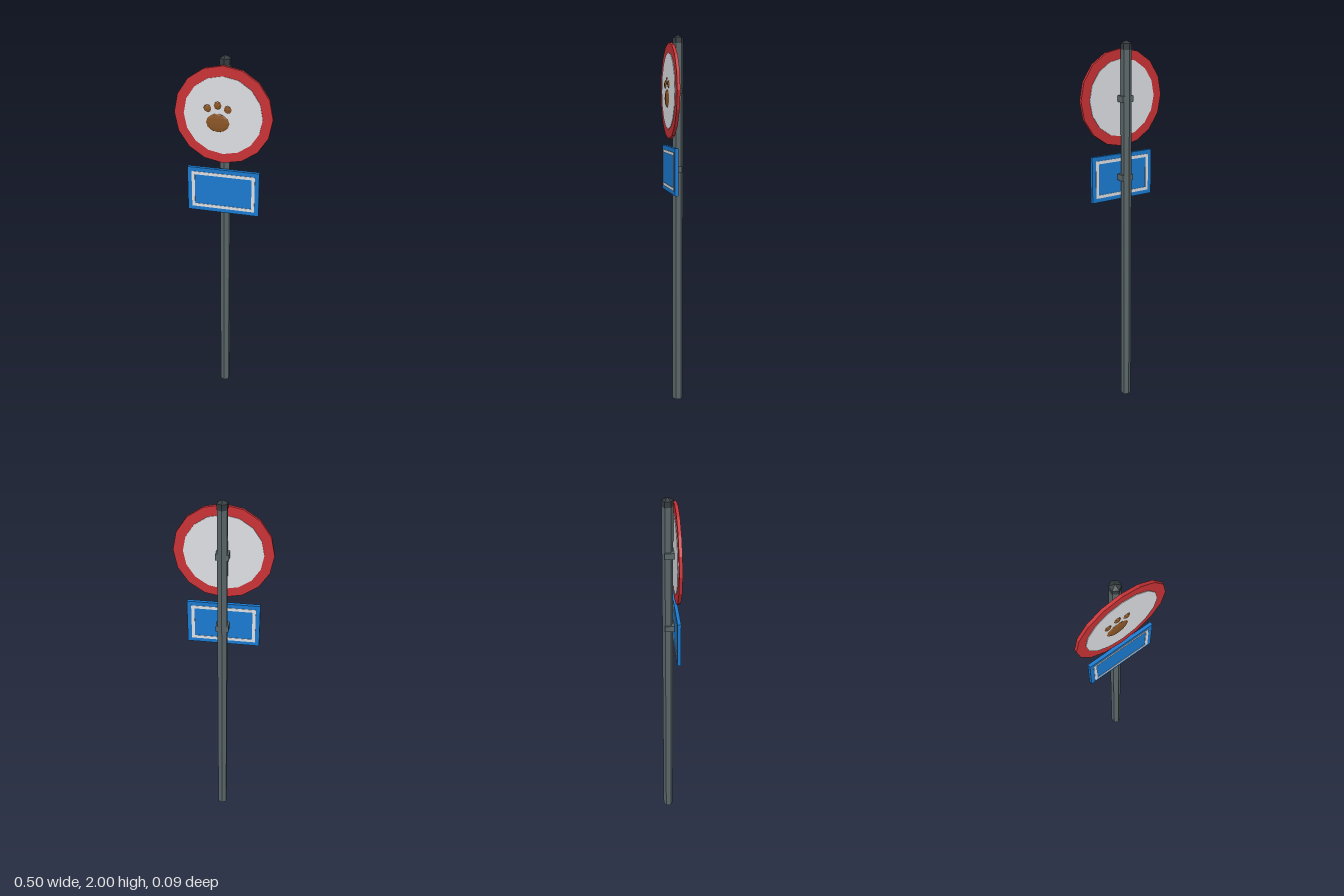
import * as THREE from 'three';

const mat = (color) => new THREE.MeshStandardMaterial({ color, flatShading: true });
const STEEL = mat(0x5a6668), DARK = mat(0x343b3f), RED = mat(0xc83236);
const WHITE = mat(0xdcdee2), BLUE = mat(0x1a7ad0), BROWN = mat(0x8a5526);

const POLE_Z = -0.018;   // pole axis
const PANEL_Z = 0.024;   // middle of both sign panels
const ROUND_Y = 1.71, PLATE_Y = 1.297;

export function createModel() {
  const model = new THREE.Group();
  model.name = 'signPost';

  const add = (name, geometry, material, x, y, z) => {
    const mesh = new THREE.Mesh(geometry, material);
    mesh.name = name;
    mesh.position.set(x, y, z);
    model.add(mesh);
    return mesh;
  };
  // Flat shape extruded along z and centred on its thickness
  const slab = (shape, depth) =>
    new THREE.ExtrudeGeometry(shape, { depth, bevelEnabled: false }).translate(0, 0, -depth / 2);
  const polygon = (r, sides) => Array.from({ length: sides }, (_, i) => {
    const a = (i / sides) * Math.PI * 2;
    return new THREE.Vector2(Math.cos(a) * r, Math.sin(a) * r);
  });
  const rect = (w, h) => [[-1, -1], [1, -1], [1, 1], [-1, 1]]
    .map(([x, y]) => new THREE.Vector2(x * w / 2, y * h / 2));
  const frame = (outer, inner, depth) => {
    const shape = new THREE.Shape(outer);
    shape.holes.push(new THREE.Path(inner));
    return slab(shape, depth);
  };

  // Hexagonal pole with a low pointed cap
  add('pole', new THREE.CylinderGeometry(0.028, 0.028, 1.96, 6), STEEL, 0, 0.98, POLE_Z);
  add('capCollar', new THREE.CylinderGeometry(0.029, 0.029, 0.03, 6, 1, true), DARK, 0, 1.97, POLE_Z);
  add('capTip', new THREE.ConeGeometry(0.029, 0.015, 6, 1, true), DARK, 0, 1.9925, POLE_Z);

  // Clamps holding the panels to the pole
  for (const y of [ROUND_Y, PLATE_Y]) {
    add('clamp', new THREE.BoxGeometry(0.066, 0.032, 0.05), STEEL, 0, y, -0.01);
  }

  // Round sign: red rim around a slightly thicker white disc
  add('roundRim', frame(polygon(0.25, 16), polygon(0.198, 16), 0.016), RED, 0, ROUND_Y, PANEL_Z);
  add('roundFace', slab(new THREE.Shape(polygon(0.2, 16)), 0.022), WHITE, 0, ROUND_Y, PANEL_Z);

  // Paw print: one big pad and three toes, flattened onto the disc
  const pad = add('pawPad', new THREE.SphereGeometry(1, 8, 6), BROWN, -0.026, 1.673, 0.035);
  pad.scale.set(0.06, 0.048, 0.008);
  for (const [x, y] of [[-0.078, 1.745], [-0.026, 1.763], [0.025, 1.745]]) {
    const toe = add('pawToe', new THREE.SphereGeometry(1, 6, 4), BROWN, x, y, 0.035);
    toe.scale.set(0.02, 0.02, 0.007);
  }

  // Rectangular plate with a white border showing on both sides
  add('plate', new THREE.BoxGeometry(0.38, 0.245, 0.018), BLUE, 0, PLATE_Y, PANEL_Z);
  add('plateBorder', frame(rect(0.335, 0.2), rect(0.302, 0.167), 0.022), WHITE, 0, PLATE_Y, PANEL_Z);

  return model;
}
